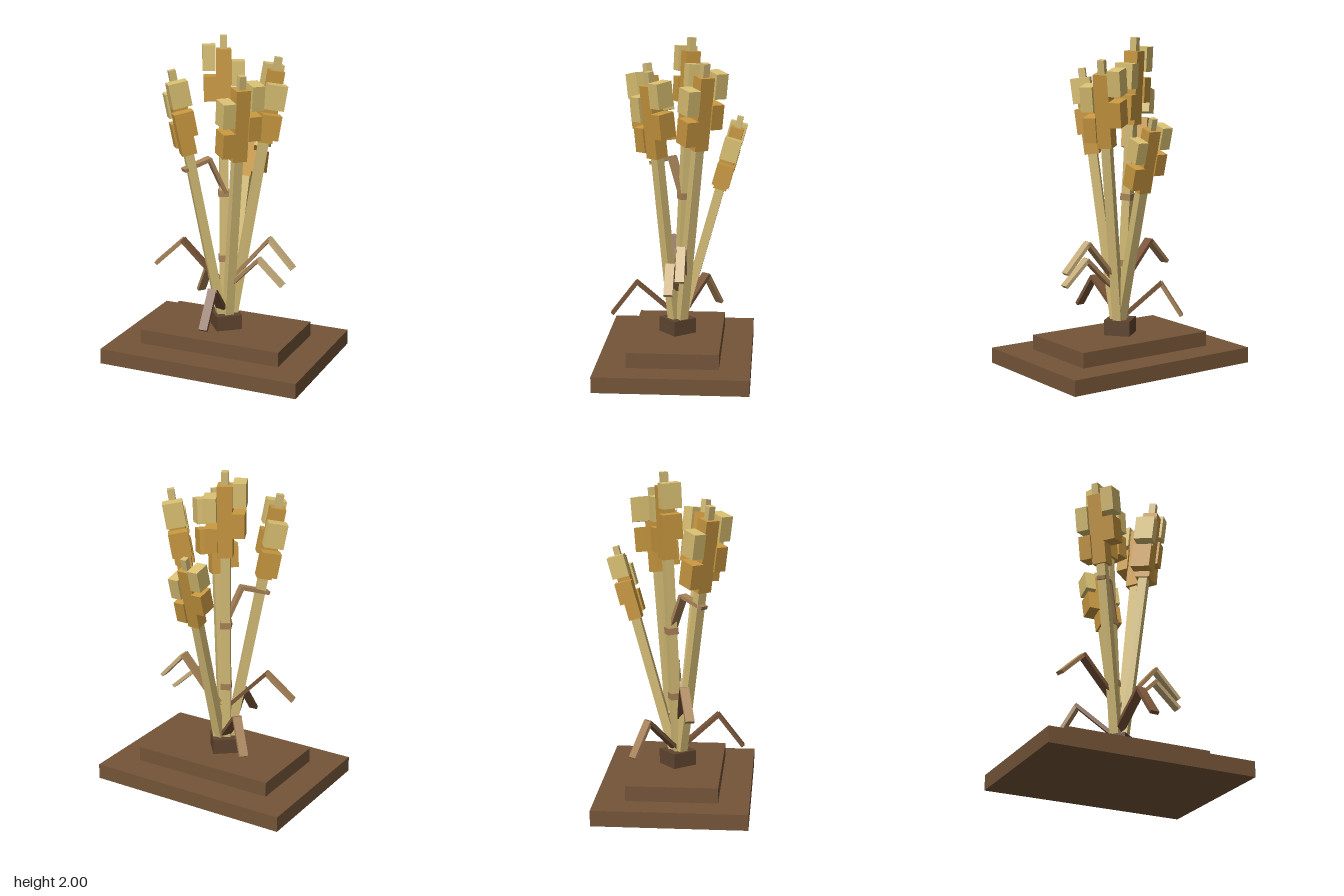
import * as THREE from 'three';

const mat = (name, color) => {
  const m = new THREE.MeshStandardMaterial({ color });
  m.name = name;
  return m;
};
const M = {
  soil: mat('soil brown', 0x745438),
  mound: mat('dark mound brown', 0x5f442f),
  stalk: mat('straw', 0xd4bc76),
  husk: mat('golden husk', 0xc99840),
  grain: mat('pale grain', 0xdac072),
  leafBrown: mat('brown leaf', 0x795539),
  leafTan: mat('tan leaf', 0xa88358),
  leafPale: mat('pale leaf', 0xc8ae7c),
};
const V = (a) => new THREE.Vector3(...a);

function box(parent, name, size, pos, material) {
  const mesh = new THREE.Mesh(new THREE.BoxGeometry(...size), material);
  mesh.name = name;
  mesh.position.set(...pos);
  parent.add(mesh);
  return mesh;
}

// Group at `from` whose local y runs to `to`; local x stays horizontal, across the lean
function leaning(name, from, to) {
  const g = new THREE.Group();
  g.name = name;
  const d = V(to).sub(V(from));
  const length = d.length();
  d.normalize();
  const side = new THREE.Vector3(d.z, 0, -d.x).normalize();
  const depth = new THREE.Vector3().crossVectors(side, d);
  g.quaternion.setFromRotationMatrix(new THREE.Matrix4().makeBasis(side, d, depth));
  g.position.set(...from);
  return { g, length };
}

// Stalk with a core, four staggered kernels and a tip
function wheat(from, to, k, nodes = []) {
  const { g, length } = leaning('wheatStalk', from, to);
  box(g, 'stem', [0.055, length - 0.4 * k, 0.055], [0, (length - 0.4 * k) / 2, 0], M.stalk);
  box(g, 'headCore', [0.09 * k, 0.44 * k, 0.09 * k], [0, length - 0.3 * k, 0], M.husk);
  box(g, 'tip', [0.042 * k, 0.12 * k, 0.042 * k], [0, length - 0.06 * k, 0], M.stalk);
  for (const [drop, sx, material] of [
    [0.13, 1, M.grain], [0.225, -1, M.grain], [0.315, 1, M.husk], [0.41, -1, M.husk],
  ]) {
    const upper = material === M.grain;
    box(g, upper ? 'upperKernel' : 'lowerKernel', [0.078 * k, 0.15 * k, 0.118 * k],
      [sx * (upper ? 0.088 : 0.08) * k, length - drop * k, 0], material);
  }
  for (const [y, w] of nodes) box(g, 'stemNode', [w, 0.04, w], [0, y, 0], M.leafTan);
  return g;
}

// Leaf bent once: a rising blade and a drooping blade
function leaf(root, knee, end, innerMat, outerMat) {
  const g = new THREE.Group();
  g.name = 'leaf';
  for (const [name, a, b, w, m] of [
    ['risingBlade', root, knee, 0.06, innerMat],
    ['droopingBlade', knee, end, 0.054, outerMat],
  ]) {
    const seg = leaning(name, a, b);
    box(seg.g, name, [w, seg.length + 0.01, 0.022], [0, seg.length / 2, 0], m);
    g.add(seg.g);
  }
  return g;
}

export function createModel() {
  const root = new THREE.Group();
  root.name = 'wheatDisplay';

  // Stepped base
  box(root, 'lowerBase', [1.29, 0.095, 0.92], [0, 0.0475, 0], M.soil);
  box(root, 'upperBase', [0.92, 0.092, 0.55], [0, 0.141, 0], M.soil);
  box(root, 'mound', [0.162, 0.094, 0.162], [0, 0.233, 0], M.mound).rotation.y = 0.68;

  // Wheat
  root.add(
    wheat([0.02, 0.25, -0.02], [0.035, 1.54, -0.38], 0.88),
    wheat([0.03, 0.25, -0.025], [0.262, 1.875, -0.18], 1),
    wheat([-0.015, 0.25, 0], [-0.053, 2, -0.08], 1, [[0.38, 0.064], [0.79, 0.068]]),
    wheat([0.02, 0.25, 0.02], [0.17, 1.815, 0.16], 1),
    wheat([-0.02, 0.25, 0.02], [-0.258, 1.825, 0.21], 1),
  );

  // Leaves
  root.add(
    leaf([0.03, 0.5, -0.03], [0.27, 0.78, -0.04], [0.425, 0.615, -0.04], M.leafTan, M.leafPale),
    leaf([0.04, 0.47, 0.02], [0.23, 0.665, 0.03], [0.385, 0.522, 0.03], M.leafTan, M.leafPale),
    leaf([-0.04, 0.5, 0.03], [-0.265, 0.735, 0.06], [-0.425, 0.58, 0.105], M.leafBrown, M.leafTan),
    leaf([-0.02, 0.3, -0.02], [-0.19, 0.505, -0.165], [-0.285, 0.31, -0.245], M.leafBrown, M.leafTan),
    leaf([-0.015, 0.3, 0.02], [0.02, 0.505, 0.25], [0.028, 0.31, 0.4], M.leafBrown, M.leafBrown),
    leaf([-0.025, 1.05, -0.03], [-0.095, 1.265, 0.04], [-0.2, 1.215, 0.17], M.leafTan, M.leafTan),
  );
  return root;
}
